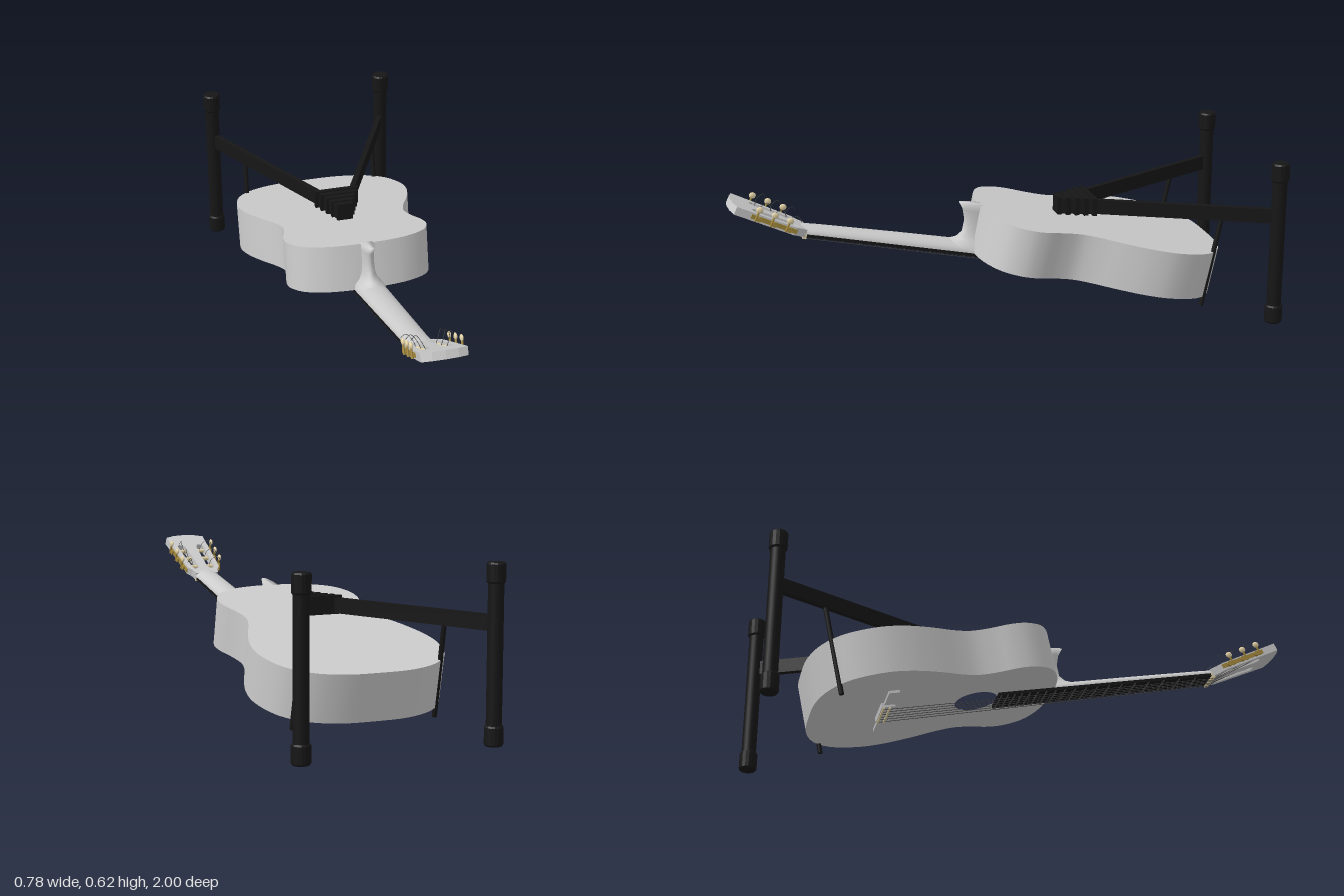
import * as THREE from 'three';

const mat = (color, side = THREE.FrontSide) => new THREE.MeshStandardMaterial({ color, side });
const V = (x, y, z) => new THREE.Vector3(x, y, z);

export function createModel() {
  const grey = mat(0xcccccc), greyOpen = mat(0xcccccc, THREE.DoubleSide);
  const black = mat(0x161616), cream = mat(0xe6d5a8), gold = mat(0xa58a3c), steel = mat(0x444444);
  const model = new THREE.Group();

  const add = (parent, name, geometry, material, x = 0, y = 0, z = 0) => {
    const mesh = new THREE.Mesh(geometry, material);
    mesh.name = name;
    mesh.position.set(x, y, z);
    parent.add(mesh);
    return mesh;
  };
  const box = (parent, name, w, h, d, x, y, z, material) =>
    add(parent, name, new THREE.BoxGeometry(w, h, d), material, x, y, z);
  // Round rod between two points
  const rod = (parent, name, a, b, r, material, sides = 10) => {
    const mesh = add(parent, name, new THREE.CylinderGeometry(r, r, a.distanceTo(b), sides), material);
    mesh.position.copy(a).lerp(b, 0.5);
    mesh.quaternion.setFromUnitVectors(V(0, 1, 0), b.clone().sub(a).normalize());
    return mesh;
  };
  // Surface through rows of points
  const loft = (rows) => {
    const g = new THREE.PlaneGeometry(1, 1, rows[0].length - 1, rows.length - 1);
    rows.flat().forEach((p, i) => g.attributes.position.setXYZ(i, p.x, p.y, p.z));
    g.computeVertexNormals();
    return g;
  };
  // Flat slab in the x-z plane, its top at y
  const slab = (shape, depth) => new THREE.ExtrudeGeometry(shape,
    { depth, bevelEnabled: false, curveSegments: 16 }).rotateX(Math.PI / 2);
  const polygon = (pts) => new THREE.Shape(pts.map(([x, y]) => new THREE.Vector2(x, y)));

  // Guitar lies face down: local z runs from tail to head, local y from soundboard to back
  const guitar = new THREE.Group();
  guitar.name = 'guitar';
  guitar.position.set(0, 0.08, -0.79);
  guitar.rotation.x = -0.21;
  model.add(guitar);

  // Body outline, half given and mirrored
  const half = [[0.13, 0.007], [0.235, 0.045], [0.305, 0.115], [0.341, 0.235], [0.333, 0.33], [0.3, 0.43],
    [0.258, 0.525], [0.241, 0.59], [0.25, 0.66], [0.27, 0.73], [0.27, 0.79], [0.235, 0.857], [0.16, 0.9], [0.08, 0.917]];
  const ring = [[0, 0], ...half.map(([x, s]) => [-x, s]), [0, 0.92], ...[...half].reverse()];
  const outline = new THREE.CatmullRomCurve3(ring.map(([x, s]) => V(x, 0, s)), true, 'centripetal').getPoints(120);
  const depth = 0.175;
  add(guitar, 'bodySides', loft([depth, 0].map((y) => outline.map((p) => V(p.x, y, p.z)))), grey);
  const rim = outline.slice(0, -1);
  const front = polygon(rim.map((p) => [p.x, p.z]));
  const hole = new THREE.Path();
  hole.absarc(0, 0.625, 0.08, 0, Math.PI * 2, true);
  front.holes.push(hole);
  add(guitar, 'soundboard', new THREE.ShapeGeometry(front, 32).rotateX(Math.PI / 2), grey);
  add(guitar, 'back', new THREE.ShapeGeometry(polygon(rim.map((p) => [p.x, -p.z]))).rotateX(-Math.PI / 2),
    grey, 0, depth, 0);

  // Neck: half-round tapering sections
  const arc = (f) => Array.from({ length: 17 }, (_, i) => f(Math.cos(i * Math.PI / 16), Math.sin(i * Math.PI / 16)));
  add(guitar, 'neck', loft([[0.9, 0.056, 0.032], [1.2, 0.051, 0.03], [1.5, 0.046, 0.026], [1.57, 0.048, 0.022]]
    .map(([s, w, h]) => arc((c, n) => V(w * c, h * n, s)))), greyOpen);
  // Heel: half-round sections stacked up to the back
  add(guitar, 'heel', loft([[0.015, 0.054, 1.06], [0.026, 0.048, 1.02], [0.04, 0.036, 0.985], [0.065, 0.026, 0.965],
    [0.11, 0.022, 0.965], [0.15, 0.022, 0.98], [0.176, 0.023, 1.0], [0.177, 0, 0.91]]
    .map(([y, w, s]) => arc((c, n) => V(w * c, y, 0.91 + (s - 0.91) * n)))), greyOpen);

  // Fingerboard, frets and nut
  const boardHalf = (s) => 0.06 - 0.015 * (s - 0.7) / 0.85;
  add(guitar, 'fingerboard', slab(polygon([[-0.06, 0.7], [0.06, 0.7], [0.045, 1.55], [-0.045, 1.55]]), 0.012), black);
  for (let k = 1; k <= 19; k++) {
    const s = 1.555 - 1.27 * (1 - 2 ** (-k / 12));
    box(guitar, 'fret', 2 * boardHalf(s), 0.004, 0.004, 0, -0.013, s, steel);
  }
  box(guitar, 'nut', 0.092, 0.026, 0.014, 0, -0.006, 1.557, cream);

  // Bridge and strings
  box(guitar, 'bridgeWings', 0.35, 0.01, 0.04, 0, -0.005, 0.285, grey);
  box(guitar, 'bridgeBlock', 0.14, 0.018, 0.05, 0, -0.009, 0.28, grey);
  box(guitar, 'saddle', 0.135, 0.006, 0.007, 0, -0.02, 0.285, cream);
  box(guitar, 'tieBlock', 0.14, 0.005, 0.008, 0, -0.0195, 0.262, cream);
  for (let i = 0; i < 6; i++) {
    const t = i / 5 - 0.5;
    rod(guitar, 'string', V(t * 0.115, -0.022, 0.265), V(t * 0.07, -0.019, 1.56), 0.0012, steel, 5);
  }

  // Slotted headstock, tilted back
  const head = new THREE.Group();
  head.name = 'headstock';
  head.position.set(0, 0, 1.56);
  head.rotation.x = -0.24;
  guitar.add(head);
  const headShape = polygon([[-0.047, -0.005], [0.047, -0.005], [0.055, 0.02], [0.068, 0.04], [0.081, 0.275],
    [0.045, 0.287], [0, 0.291], [-0.045, 0.287], [-0.081, 0.275], [-0.068, 0.04], [-0.055, 0.02]]);
  for (const m of [1, -1]) {
    headShape.holes.push(new THREE.Path([[0.018, 0.045], [0.026, 0.03], [0.042, 0.03], [0.048, 0.045],
      [0.056, 0.195], [0.048, 0.21], [0.032, 0.21], [0.024, 0.195]].map(([x, y]) => new THREE.Vector2(m * x, y))));
  }
  add(head, 'headPlate', slab(headShape, 0.03), grey, 0, 0.018, 0);

  // Tuning machines: roller across the slot, side plate, shaft and button
  for (const m of [1, -1]) {
    const plate = box(head, 'tunerPlate', 0.004, 0.016, 0.18, m * 0.076, 0.004, 0.125, gold);
    plate.rotation.y = m * 0.055;
    [0.065, 0.125, 0.185].forEach((s, i) => {
      const x = 0.073 + i * 0.003;
      rod(head, 'roller', V(m * 0.015, 0.003, s), V(m * x, 0.003, s), 0.008, cream);
      rod(head, 'tunerGear', V(m * x, 0.003, s), V(m * (x + 0.009), 0.003, s), 0.01, gold);
      rod(head, 'tunerShaft', V(m * (x + 0.008), -0.008, s + 0.012), V(m * (x + 0.008), 0.03, s + 0.012), 0.004, gold);
      add(head, 'tunerButton', new THREE.SphereGeometry(1, 12, 8).scale(0.006, 0.012, 0.013),
        cream, m * (x + 0.008), 0.036, s + 0.012);
      // String from nut to roller, with a loose curling end
      rod(head, 'headString', V(m * (0.035 - i * 0.014), -0.018, 0), V(m * (0.03 + i * 0.003), -0.005, s), 0.0012, steel, 5);
      const end = new THREE.CatmullRomCurve3([V(m * 0.035, 0.01, s), V(m * 0.045, 0.035, s + 0.005),
        V(m * 0.06, 0.055 + i * 0.004, s - 0.015), V(m * 0.075, 0.045, s - 0.03)]);
      add(head, 'looseStringEnd', new THREE.TubeGeometry(end, 16, 0.001, 4), steel);
    });
  }

  // Stand: posts with caps, arms and support pegs on both sides
  const stand = new THREE.Group();
  stand.name = 'stand';
  model.add(stand);
  const cap = new THREE.LatheGeometry([[0, 0], [0.029, 0], [0.033, 0.006], [0.033, 0.064], [0.029, 0.07], [0, 0.07]]
    .map(([x, y]) => new THREE.Vector2(x, y)), 16);
  const capMat = mat(0x161616);
  capMat.flatShading = true;
  for (const m of [1, -1]) {
    const px = m * 0.355, pz = -0.967;
    rod(stand, 'post', V(px, 0.01, pz), V(px, 0.61, pz), 0.027, black, 24);
    for (const y of [0, 0.55]) add(stand, 'postCap', cap, capMat, px, y, pz);
    const a = V(px, 0.416, pz), b = V(m * 0.055, 0.416, -0.34);
    const arm = box(stand, 'arm', 0.02, 0.055, a.distanceTo(b), 0, 0, 0, black);
    arm.position.copy(a).lerp(b, 0.5);
    arm.rotation.y = Math.atan2(b.x - a.x, b.z - a.z);
    rod(stand, 'supportPeg', V(m * 0.265, 0.4, -0.782), V(m * 0.27, 0.06, -0.71), 0.009, black, 12);
  }

  // Hub: wedge with stepped ribs
  add(stand, 'hub', slab(polygon([[-0.078, -0.36], [0.078, -0.36], [0.028, -0.225], [-0.028, -0.225]]), 0.058),
    black, 0, 0.446, 0);
  for (let i = 0; i < 5; i++) {
    box(stand, 'hubRib', 0.17 - i * 0.027, 0.067, 0.017, 0, 0.418, -0.35 + i * 0.03, black);
  }
  return model;
}
